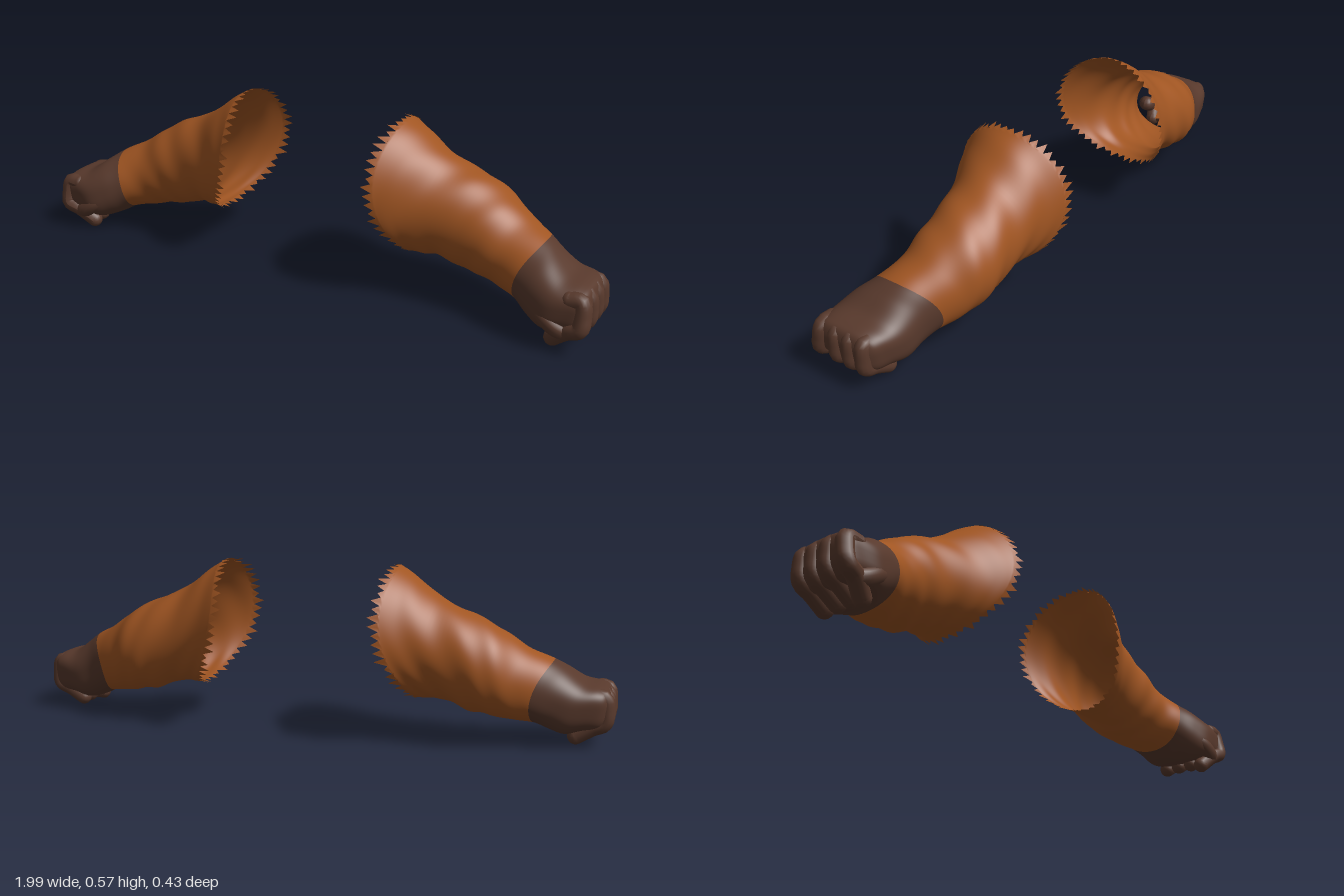
import * as THREE from 'three';

// Arm cross-sections from shoulder to knuckles:
// top x, top y, bottom x, bottom y, back z, front z, inward bow of the sides, squareness
const SECTIONS = [
  [0.30, 0.565, 0.385, 0.14, -0.215, 0.20, 0.06, 2],
  [0.36, 0.525, 0.42, 0.14, -0.19, 0.175, 0.05, 2],
  [0.45, 0.46, 0.47, 0.138, -0.168, 0.14, 0.03, 2],
  [0.55, 0.42, 0.54, 0.11, -0.165, 0.125, 0.01, 2],
  [0.64, 0.375, 0.60, 0.10, -0.16, 0.125, 0.01, 2],
  [0.72, 0.32, 0.67, 0.085, -0.13, 0.13, 0.02, 2],
  [0.80, 0.28, 0.745, 0.075, -0.095, 0.157, 0.03, 2.1],
  [0.845, 0.25, 0.79, 0.055, -0.07, 0.185, 0.02, 2.4],
  [0.895, 0.215, 0.84, 0.04, -0.058, 0.205, 0.01, 2.8],
  [0.945, 0.203, 0.89, 0.052, -0.04, 0.2, 0, 3.2],
  [0.97, 0.19, 0.945, 0.06, -0.022, 0.192, 0, 3.4],
  [0.98, 0.16, 0.975, 0.09, 0.01, 0.165, 0, 3],
  [0.98, 0.126, 0.98, 0.124, 0.085, 0.087, 0, 2],
];
const WRIST = 6;
const AROUND = 96;

function seeded(seed) {
  return () => {
    seed = (seed * 16807) % 2147483647;
    return seed / 2147483647;
  };
}

// Smooth interpolation between the listed sections
function sectionAt(u) {
  const last = SECTIONS.length - 1;
  const i = Math.min(Math.floor(u), last - 1);
  const t = u - i;
  const pick = (k) => SECTIONS[Math.max(0, Math.min(last, k))];
  const [a, b, c, d] = [pick(i - 1), pick(i), pick(i + 1), pick(i + 2)];
  return b.map((p, k) => {
    const m0 = (c[k] - a[k]) / 2, m1 = (d[k] - p) / 2;
    return p + m0 * t
      + (3 * (c[k] - p) - 2 * m0 - m1) * t * t
      + (2 * (p - c[k]) + m0 + m1) * t * t * t;
  });
}

// Skin between two positions along the arm; a torn edge gets uneven teeth
function loft(from, to, steps, torn) {
  const random = seeded(77);
  const pos = [], index = [];
  for (let i = 0; i <= steps; i++) {
    const u = from + (to - from) * i / steps;
    const [xt, yt, xb, yb, zb, zf, bow, power] = sectionAt(u);
    // soft cloth folds, fading out toward the wrist and the hand
    const fold = u < WRIST ? 0.005 * Math.sin(Math.PI * u / WRIST) : 0;
    for (let j = 0; j < AROUND; j++) {
      const a = j / AROUND * Math.PI * 2;
      const round = (v) => Math.sign(v) * Math.pow(Math.abs(v), 2 / power);
      const wave = 1 + fold / 0.16 * Math.sin(3 * a + 2.6 * u) * Math.sin(2.1 * u + a);
      const c = round(Math.cos(a)) * wave, s = round(Math.sin(a)) * wave;
      let x = (xt + xb) / 2 + (xt - xb) / 2 * c - bow * Math.sin(a) ** 2;
      let flare = 1;
      if (torn && i === 0) {
        const tooth = j % 2 ? 0.012 + 0.022 * random() : -0.01 * random();
        x -= tooth;
        flare += tooth * 0.8;
      }
      pos.push(x, (yt + yb) / 2 + (yt - yb) / 2 * c * flare,
        (zf + zb) / 2 + (zf - zb) / 2 * s * flare);
    }
  }
  for (let i = 0; i < steps; i++) {
    for (let j = 0; j < AROUND; j++) {
      const k = (j + 1) % AROUND;
      const a = i * AROUND + j, b = i * AROUND + k;
      const c = a + AROUND, d = b + AROUND;
      index.push(a, b, c, b, d, c);
    }
  }
  const geo = new THREE.BufferGeometry();
  geo.setAttribute('position', new THREE.Float32BufferAttribute(pos, 3));
  geo.setIndex(index);
  geo.computeVertexNormals();
  return geo;
}

// Rounded finger along a smooth path
function finger(points, radius) {
  const path = points.map((p) => new THREE.Vector3(...p));
  const curve = new THREE.CatmullRomCurve3(path);
  const tip = (p) => new THREE.SphereGeometry(radius, 14, 10).translate(p.x, p.y, p.z);
  return [new THREE.TubeGeometry(curve, 24, radius, 14), tip(path[0]), tip(path[path.length - 1])];
}

// Copy for the other side of the body, with corner order reversed
function mirrored(source) {
  const geo = source.clone().scale(-1, 1, 1);
  const idx = geo.index.array;
  for (let i = 0; i < idx.length; i += 3) [idx[i], idx[i + 2]] = [idx[i + 2], idx[i]];
  geo.computeVertexNormals();
  return geo;
}

export function createModel() {
  const cloth = new THREE.MeshStandardMaterial({ color: 0xa05522, side: THREE.DoubleSide });
  cloth.name = 'rust sleeve';
  const skin = new THREE.MeshStandardMaterial({ color: 0x58392c });
  skin.name = 'dark brown hand';

  const parts = [
    ['sleeve', loft(0, WRIST, 48, true), cloth],
    ['hand', loft(WRIST, SECTIONS.length - 1, 36, false), skin],
  ];

  // Four curled fingers, from the front of the fist to the back
  [[0.172, 0.028], [0.115, 0.04], [0.062, 0.042], [0.012, 0.04]].forEach(([z, tipY], n) => {
    const out = n === 0 ? 0.014 : 0;
    finger([
      [0.92, 0.168, z], [0.958, 0.168, z], [0.966, 0.125, z + out / 2],
      [0.962, 0.088, z + out], [0.925, 0.07, z + out / 2], [0.875, tipY, z - out],
    ], 0.027).forEach((geo) => parts.push(['finger', geo, skin]));
  });

  // Thumb folded against the front of the fist
  finger([
    [0.80, 0.13, 0.145], [0.85, 0.10, 0.178], [0.89, 0.075, 0.183], [0.915, 0.065, 0.175],
  ], 0.028).forEach((geo) => parts.push(['thumb', geo, skin]));

  const model = new THREE.Group();
  model.name = 'arms';
  for (const side of ['left', 'right']) {
    const arm = new THREE.Group();
    arm.name = side + 'Arm';
    for (const [name, geo, material] of parts) {
      const mesh = new THREE.Mesh(side === 'left' ? geo : mirrored(geo), material);
      mesh.name = name;
      arm.add(mesh);
    }
    model.add(arm);
  }
  return model;
}
